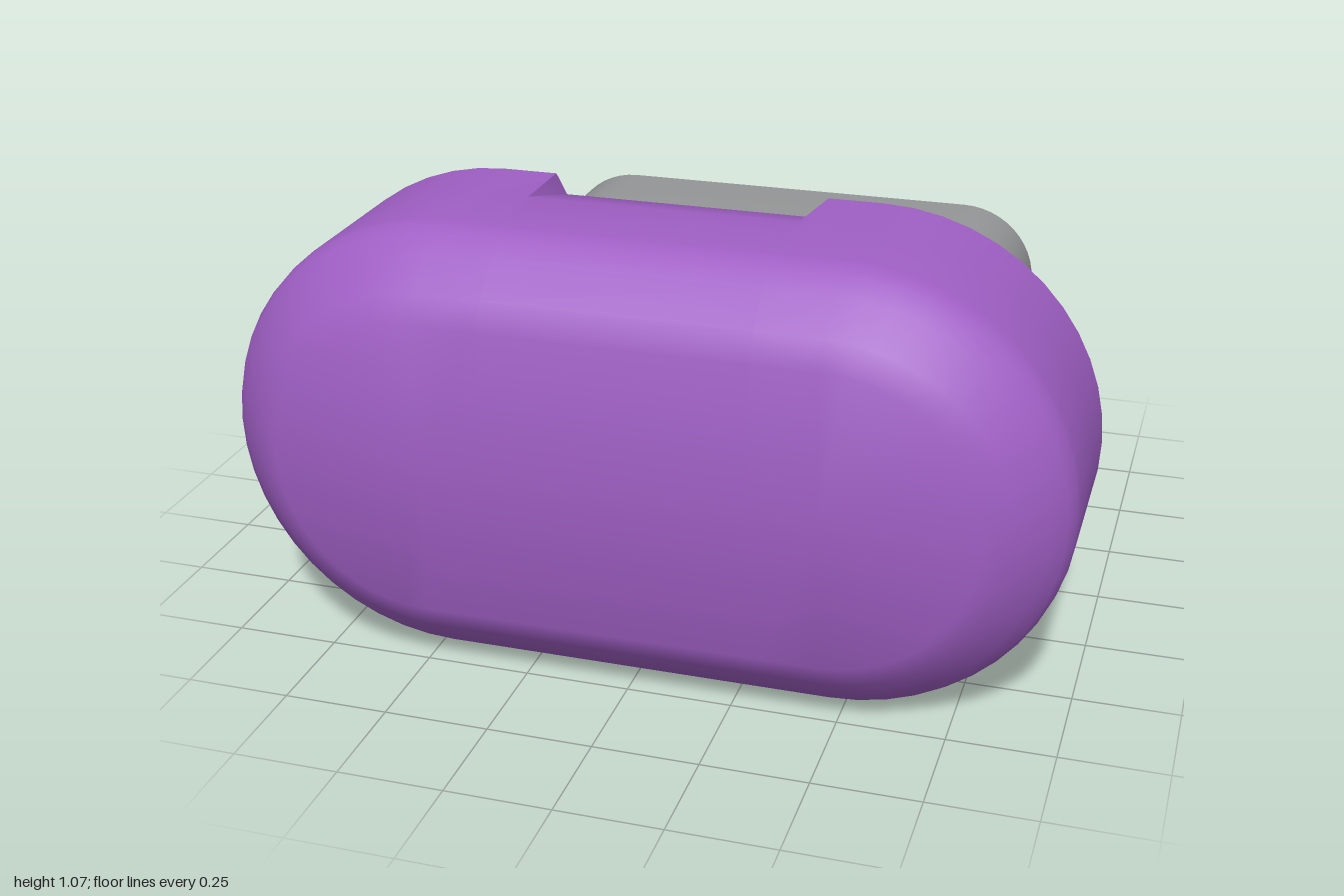
import * as THREE from 'three';
import { toCreasedNormals } from 'three/addons/utils/BufferGeometryUtils.js';

const CY = 0.535; // height of the centre axis

const material = (name, color) => {
  const m = new THREE.MeshStandardMaterial({ color });
  m.name = name;
  return m;
};

// Rounded-slot cross-section; notch presses the middle of both long sides inwards
function slotLoop(span, radius, notch) {
  const pts = [];
  const arcSteps = 24;
  const xs = [0.335, 0.31, -0.31, -0.335];
  for (const side of [1, -1]) {
    for (let i = 0; i <= arcSteps; i++) {
      const a = -Math.PI / 2 + (Math.PI * i) / arcSteps;
      pts.push([side * (span + Math.cos(a) * radius), side * Math.sin(a) * radius]);
    }
    for (const x of xs) {
      const depth = Math.abs(x) < 0.32 ? notch : 0;
      pts.push([side * x, side * (radius - depth)]);
    }
  }
  return pts;
}

// Skin over rings [inset, z, notch], running from the front, round the lip and back inside
function loftSlot(span, radius, rings) {
  const positions = [], index = [];
  let n = 0;
  rings.forEach(([inset, z, notch = 0]) => {
    const loop = slotLoop(span, radius - inset, notch);
    n = loop.length;
    loop.forEach(([x, y]) => positions.push(x, CY + y, z));
  });
  for (let r = 0; r < rings.length - 1; r++) {
    for (let i = 0; i < n; i++) {
      const j = (i + 1) % n;
      const a = r * n + i, b = r * n + j, c = a + n, d = b + n;
      index.push(a, c, b, b, c, d);
    }
  }
  const g = new THREE.BufferGeometry();
  g.setAttribute('position', new THREE.Float32BufferAttribute(positions, 3));
  g.setIndex(index);
  return toCreasedNormals(g, 0.6);
}

export function createModel() {
  const group = new THREE.Group();
  const purple = material('purple plastic', 0x9f5fc4);
  const steel = material('grey metal', 0x9c9d9e);
  const blue = material('blue plastic', 0x0f4fc0);
  const orange = material('orange plastic', 0xcc5a1c);
  const dark = material('dark hole', 0x4a4a4a);

  const add = (name, geometry, mat, x = 0, y = 0, z = 0) => {
    const mesh = new THREE.Mesh(geometry, mat);
    mesh.name = name;
    mesh.position.set(x, y, z);
    group.add(mesh);
    return mesh;
  };

  // Hollow hood with bevelled front and ramped grip recesses at the rear rim
  add('hood', loftSlot(0.465, 0.535, [
    [0.535, 0.825], [0.18, 0.825], [0.12, 0.79], [0.05, 0.717], [0.018, 0.68], [0.004, 0.65],
    [0, 0.62], [0, 0.42], [0, 0.235, 0.05], [0.012, 0.222, 0.05], [0.03, 0.22, 0.05],
    [0.065, 0.22, 0.05], [0.083, 0.228, 0.05], [0.09, 0.245, 0.05], [0.09, 0.45],
    [0.09, 0.62], [0.13, 0.69], [0.2, 0.72], [0.535, 0.72],
  ]), purple);

  // Plug shell with open, rounded mouth
  add('plugShell', loftSlot(0.482, 0.2, [
    [0.2, 0.55], [0, 0.55], [0, -0.8], [0.007, -0.817], [0.022, -0.825],
    [0.032, -0.825], [0.042, -0.817], [0.046, -0.8], [0.046, 0.3], [0.2, 0.3],
  ]), steel);

  // Insert block inside the mouth
  add('plugInsert', new THREE.BoxGeometry(1.14, 0.17, 1.06), steel, 0, CY, -0.19);

  // Contact pins, one row above and one below the shell
  for (const side of [1, -1]) {
    for (let i = 0; i < 8; i++) {
      add('contactPin', new THREE.BoxGeometry(0.04, 0.1, 0.05), steel,
        -0.5 + i / 7, CY + side * 0.2, 0.545);
    }
    // Small side hole near the base of the shell
    const hole = add('sideHole', new THREE.CylinderGeometry(0.026, 0.026, 0.008, 16), dark,
      side * 0.68, CY, 0.47);
    hole.rotation.z = Math.PI / 2;
  }

  // End brackets: one long stepped arm, one short arm; the pair is turned half round
  const outline = [
    [0.25, 0.15], [0.25, 0.22], [0.31, 0.22], [0.31, 0.25], [0.36, 0.25], [0.36, 0.21],
    [0.46, 0.21], [0.46, 0.24], [0.58, 0.24], [0.58, 0.22], [0.64, 0.22], [0.64, 0.25],
    [0.7, 0.25], [0.83, 0.12], [0.83, -0.12], [0.7, -0.25], [0.63, -0.25], [0.63, -0.21],
    [0.57, -0.21], [0.57, -0.25], [0.5, -0.25], [0.5, 0.15],
  ].map(([x, y]) => new THREE.Vector2(x, y));
  const bracket = new THREE.ExtrudeGeometry(new THREE.Shape(outline), { depth: 0.08, bevelEnabled: false });
  add('leftBracket', bracket, blue, 0, CY, 0.55);
  add('rightBracket', bracket, orange, 0, CY, 0.55).rotation.z = Math.PI;

  return group;
}
